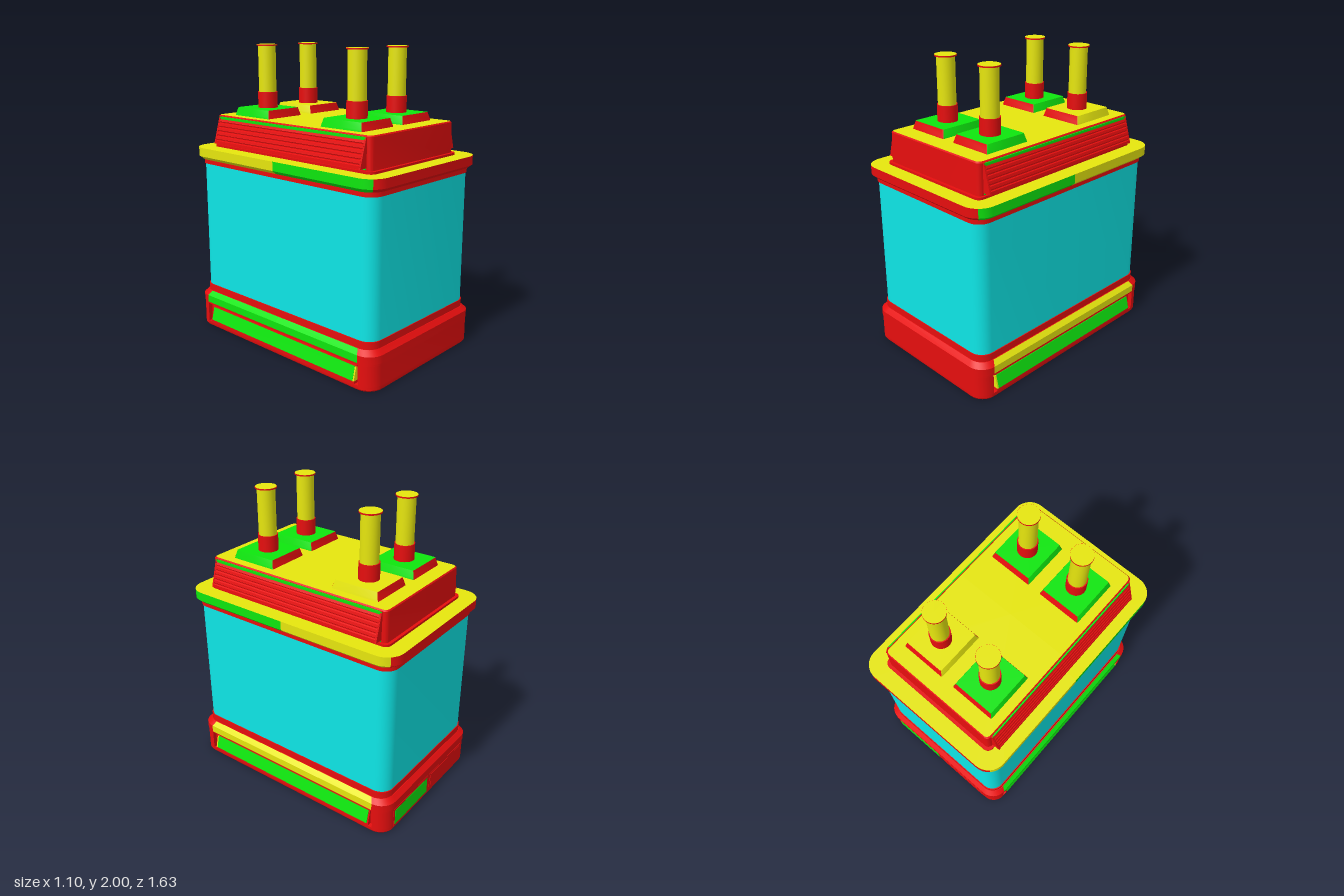
import * as THREE from 'three';
import { toCreasedNormals } from 'three/addons/utils/BufferGeometryUtils.js';

const RED = 0xe60e0e, YELLOW = 0xe6e60e, GREEN = 0x0ee60e, CYAN = 0x0ee6e6;
const mat = (color) => new THREE.MeshStandardMaterial({ color });
const NOTCH = 0.71;

function addMesh(parent, name, geo, color, x = 0, y = 0, z = 0) {
  const m = new THREE.Mesh(geo, mat(color));
  m.name = name;
  m.position.set(x, y, z);
  parent.add(m);
  return m;
}

// Rounded rectangle outline [x, z]; the two long sides can be cut back by notch
function outline(hx, hz, r, notch) {
  const n = 8, pts = [];
  for (let q = 0; q < 4; q++) {
    const sx = q === 0 || q === 3 ? 1 : -1, sz = q < 2 ? 1 : -1;
    for (let i = 0; i <= n; i++) {
      const a = (q + i / n) * Math.PI / 2;
      pts.push([sx * (hx - r) + r * Math.cos(a), sz * (hz - r) + r * Math.sin(a)]);
    }
    if (q % 2) {
      if (notch) { // end of the corner arc, then the long side at top or bottom
        const s = sz;
        if (q === 1) pts.push([-hx, s * NOTCH], [-hx + notch, s * NOTCH], [-hx + notch, 0], [-hx + notch, -NOTCH], [-hx, -NOTCH]);
        else pts.push([hx, -NOTCH], [hx - notch, -NOTCH], [hx - notch, 0], [hx - notch, NOTCH], [hx, NOTCH]);
      } else pts.push([q === 3 ? hx : -hx, 0]);
    }
  }
  return pts;
}

// Stacks outlines [hx, hz, r, y, notch]; pick(nx, nz, x, z) gives each wall's colour
function loft(parent, name, rings, pick, top, bottom) {
  const buckets = new Map();
  const put = (color, ...v) => {
    if (!buckets.has(color)) buckets.set(color, []);
    buckets.get(color).push(...v.flat());
  };
  const loops = rings.map(([hx, hz, r, y, notch]) => outline(hx, hz, r, notch).map(([x, z]) => [x, y, z]));
  const count = loops[0].length;
  for (let i = 0; i < count; i++) {
    const j = (i + 1) % count;
    for (let k = 0; k + 1 < loops.length; k++) {
      const a = loops[k][i], b = loops[k][j], c = loops[k + 1][j], d = loops[k + 1][i];
      const dx = b[0] - a[0], dz = b[2] - a[2];
      put(pick(dz, -dx, (a[0] + b[0]) / 2, (a[2] + b[2]) / 2), a, c, b, a, d, c);
    }
    const first = loops[0], last = loops[loops.length - 1];
    if (top) put(top, [0, last[0][1], 0], last[j], last[i]);
    if (bottom) put(bottom, [0, first[0][1], 0], first[i], first[j]);
  }
  const group = new THREE.Group();
  group.name = name;
  for (const [color, v] of buckets) {
    const geo = new THREE.BufferGeometry();
    geo.setAttribute('position', new THREE.Float32BufferAttribute(v, 3));
    geo.computeVertexNormals();
    addMesh(group, name + 'Surface', toCreasedNormals(geo, 0.5), color);
  }
  parent.add(group);
  return group;
}

// Profile in x/y extruded along z, centred
function prism(points, length) {
  const shape = new THREE.Shape(points.map(([x, y]) => new THREE.Vector2(x, y)));
  return new THREE.ExtrudeGeometry(shape, { depth: length, bevelEnabled: false }).translate(0, 0, -length / 2);
}

export function createModel() {
  const model = new THREE.Group();
  model.name = 'terminalCase';
  const red = () => RED;

  // Base: plinth, recessed middle and upper rim
  loft(model, 'basePlate', [[0.538, 0.805, 0.1, 0], [0.543, 0.81, 0.1, 0.01], [0.543, 0.81, 0.1, 0.03]], red, RED, GREEN);
  loft(model, 'baseWall', [[0.543, 0.81, 0.1, 0.03, 0.03], [0.543, 0.81, 0.1, 0.165, 0.03]], red);
  loft(model, 'baseTop', [[0.543, 0.81, 0.1, 0.165], [0.543, 0.81, 0.1, 0.178]], red, RED, RED);
  loft(model, 'baseRim', [[0.548, 0.815, 0.11, 0.178], [0.548, 0.815, 0.11, 0.228], [0.52, 0.787, 0.1, 0.258]],
    (nx, nz, x, z) => Math.abs(nz) > 1e-6 || Math.abs(z) > 0.7 ? RED : x > 0 ? YELLOW : GREEN, RED, RED);
  loft(model, 'lowerBand', [[0.514, 0.783, 0.09, 0.255], [0.514, 0.783, 0.09, 0.305]], red, RED);

  // Sloping panels set in the long sides of the base
  for (const side of [1, -1]) {
    const panel = new THREE.Group();
    panel.name = side > 0 ? 'leftBasePanel' : 'rightBasePanel';
    panel.rotation.y = side > 0 ? 0 : Math.PI;
    addMesh(panel, 'panelFrame', prism([[0.51, 0.03], [0.543, 0.03], [0.543, 0.045], [0.518, 0.15], [0.51, 0.15]], 1.36), RED);
    addMesh(panel, 'panelFace', prism([[0.51, 0.048], [0.548, 0.048], [0.526, 0.136], [0.51, 0.136]], 1.34), GREEN);
    addMesh(panel, 'panelEnd', prism([[0.51, 0.048], [0.548, 0.048], [0.526, 0.136], [0.51, 0.136]], 0.01), YELLOW, 0, 0, side * 0.676);
    model.add(panel);
  }

  // Two plates on the back of the base
  for (const [x, color] of [[0.23, GREEN], [-0.22, RED]]) {
    addMesh(model, 'backPlateFrame', new THREE.BoxGeometry(0.43, 0.14, 0.01), RED, x, 0.09, -0.807);
    addMesh(model, 'backPlate', new THREE.BoxGeometry(0.4, 0.115, 0.01), color, x, 0.09, -0.809);
  }

  // Main body and top flange
  loft(model, 'body', [[0.508, 0.778, 0.09, 0.3], [0.508, 0.778, 0.09, 1.195]], () => CYAN);
  loft(model, 'upperBand', [[0.514, 0.783, 0.09, 1.19], [0.514, 0.783, 0.09, 1.225]], red, null, RED);
  loft(model, 'flange', [[0.52, 0.79, 0.1, 1.22], [0.547, 0.817, 0.12, 1.243], [0.547, 0.817, 0.12, 1.303]],
    (nx, nz, x, z) => Math.abs(nx) < Math.abs(nz) ? RED : z > 0 ? GREEN : YELLOW, YELLOW, RED);

  // Raised lid
  loft(model, 'lidLip', [[0.438, 0.71, 0.04, 1.3], [0.438, 0.71, 0.04, 1.318]], red, RED);
  loft(model, 'lid', [[0.422, 0.69, 0.03, 1.315], [0.418, 0.686, 0.03, 1.515], [0.41, 0.68, 0.03, 1.523]], red, YELLOW);

  // Ribbed wings along the lid sides
  const ribs = [[0.41, 1.335], [0.475, 1.335]];
  for (let i = 0; i < 5; i++) {
    const y = 1.352 + i * 0.029, x = 0.473 - i * 0.0085;
    ribs.push([x, y], [x - 0.007, y + 0.004], [x - 0.007, y + 0.009], [x - 0.004, y + 0.013]);
  }
  ribs.push([0.423, 1.503], [0.41, 1.503]);
  for (const side of [1, -1]) {
    const wing = new THREE.Group();
    wing.name = side > 0 ? 'leftWing' : 'rightWing';
    wing.rotation.y = side > 0 ? 0 : Math.PI;
    addMesh(wing, 'wingRibs', prism(ribs, 1.3), RED);
    addMesh(wing, 'wingBacking', new THREE.BoxGeometry(0.02, 0.19, 1.31), GREEN, 0.417, 1.418, 0);
    for (const end of [1, -1])
      addMesh(wing, 'wingEnd', prism([[0.41, 1.333], [0.477, 1.333], [0.424, 1.516], [0.41, 1.516]], 0.012), RED, 0, 0, end * 0.65);
    model.add(wing);
  }

  // Four terminals: tapered pad, collar, post and cap
  for (const x of [0.197, -0.197]) for (const z of [0.39, -0.41]) {
    const t = new THREE.Group();
    t.name = 'terminal';
    t.position.set(x, 0, z);
    const color = x > 0 && z < 0 ? YELLOW : GREEN;
    loft(t, 'pad', [[0.153, 0.168, 0.008, 1.52], [0.149, 0.164, 0.008, 1.537], [0.138, 0.153, 0.008, 1.577]],
      (nx, nz) => Math.abs(nx) > Math.abs(nz) ? color : RED, color);
    addMesh(t, 'collar', new THREE.CylinderGeometry(0.066, 0.066, 0.11, 40), RED, 0, 1.629, 0);
    addMesh(t, 'post', new THREE.CylinderGeometry(0.059, 0.059, 0.32, 40), YELLOW, 0, 1.833, 0);
    addMesh(t, 'postCap', new THREE.CylinderGeometry(0.07, 0.07, 0.009, 40), RED, 0, 1.9945, 0);
    addMesh(t, 'postCapTop', new THREE.CylinderGeometry(0.069, 0.069, 0.002, 40), YELLOW, 0, 1.999, 0);
    model.add(t);
  }
  return model;
}
